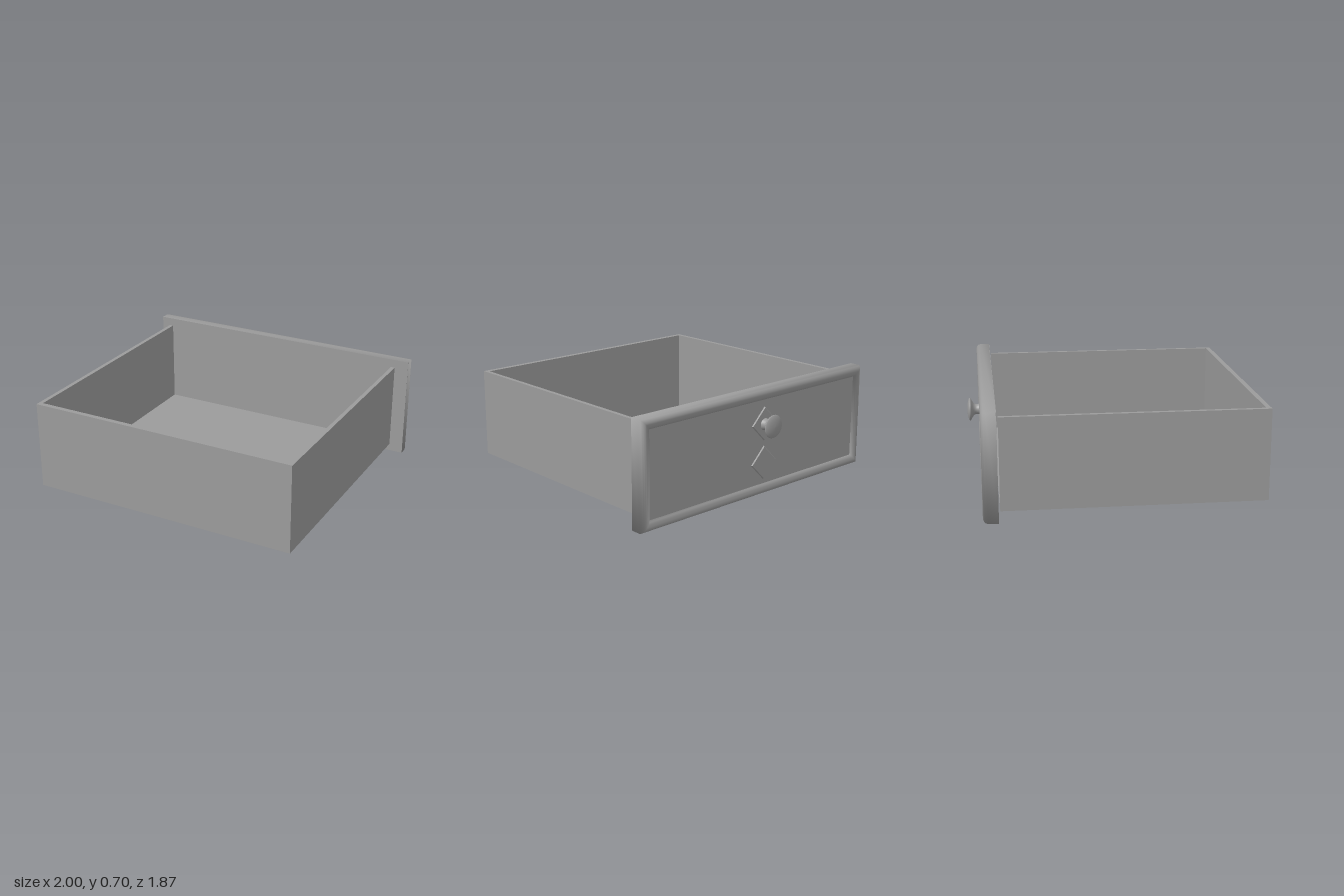
import * as THREE from 'three';

const material = new THREE.MeshStandardMaterial({ color: 0x9b9b9b, side: THREE.DoubleSide });

// Box given by its minimum and maximum corners
function slab(name, [x0, y0, z0], [x1, y1, z1]) {
  const mesh = new THREE.Mesh(new THREE.BoxGeometry(x1 - x0, y1 - y0, z1 - z0), material);
  mesh.name = name;
  mesh.position.set((x0 + x1) / 2, (y0 + y1) / 2, (z0 + z1) / 2);
  return mesh;
}

// Sweeps an [inset, z] profile round a rectangle, smooth shaded across the corners
function moulding(halfW, height, profile) {
  const positions = [], index = [];
  profile.forEach(([inset, z], ring) => {
    const x = halfW - inset, top = height - inset;
    positions.push(-x, inset, z, x, inset, z, x, top, z, -x, top, z);
    for (let i = 0; ring > 0 && i < 4; i++) {
      const a = 4 * ring - 4 + i, b = 4 * ring - 4 + (i + 1) % 4;
      index.push(a, a + 4, b, b, a + 4, b + 4);
    }
  });
  const geometry = new THREE.BufferGeometry();
  geometry.setAttribute('position', new THREE.Float32BufferAttribute(positions, 3));
  geometry.setIndex(index);
  geometry.computeVertexNormals();
  const mesh = new THREE.Mesh(geometry, material);
  mesh.name = 'moulding';
  return mesh;
}

export function createModel() {
  const model = new THREE.Group();
  model.name = 'drawer';

  // Open tray: two sides, an end wall and a thin floor
  const low = 0.055, high = 0.653, near = -0.75, far = 0.938;
  model.add(
    slab('sideWallRight', [-0.933, low, near], [-0.905, high, far]),
    slab('sideWallLeft', [0.88, low, near], [0.907, high, far]),
    slab('endWall', [-0.905, low, 0.905], [0.88, high, far]),
    slab('floor', [-0.905, 0.062, near], [0.88, 0.07, 0.905]));

  // Face panel: rounded moulding around a recessed field
  const height = 0.705, back = -0.761, field = -0.838, border = 0.07;
  model.add(moulding(1, height, [
    [0, back], [0, -0.825], [0.004, -0.84], [0.012, -0.851], [0.024, -0.858],
    [0.036, -0.858], [0.05, -0.855], [0.062, -0.849], [border, field],
  ]));
  model.add(slab('panelField', [-1 + border, border, field], [1 - border, height - border, back - 0.002]));
  model.add(slab('panelBack', [-1, 0, back - 0.002], [1, height, back]));

  // Two thin bevelled diamond ornaments
  for (const y of [0.475, 0.213]) {
    const diamond = new THREE.Mesh(new THREE.CylinderGeometry(0.107, 0.115, 0.007, 4), material);
    diamond.geometry = diamond.geometry.toNonIndexed();
    diamond.geometry.computeVertexNormals();
    diamond.name = 'diamondOrnament';
    diamond.rotation.x = -Math.PI / 2;
    diamond.position.set(-0.047, y, field - 0.0035);
    model.add(diamond);
  }

  // Turned knob: flared stem and domed head
  const profile = [
    [0.042, 0], [0.038, 0.012], [0.033, 0.03], [0.034, 0.042], [0.041, 0.054], [0.058, 0.065],
    [0.073, 0.073], [0.077, 0.079], [0.073, 0.086], [0.05, 0.093], [0.025, 0.097], [0, 0.098],
  ].map(([r, h]) => new THREE.Vector2(r, h));
  const knob = new THREE.Mesh(new THREE.LatheGeometry(profile, 32), material);
  knob.name = 'knob';
  knob.rotation.x = -Math.PI / 2;
  knob.position.set(-0.047, 0.472, field);
  model.add(knob);

  return model;
}
